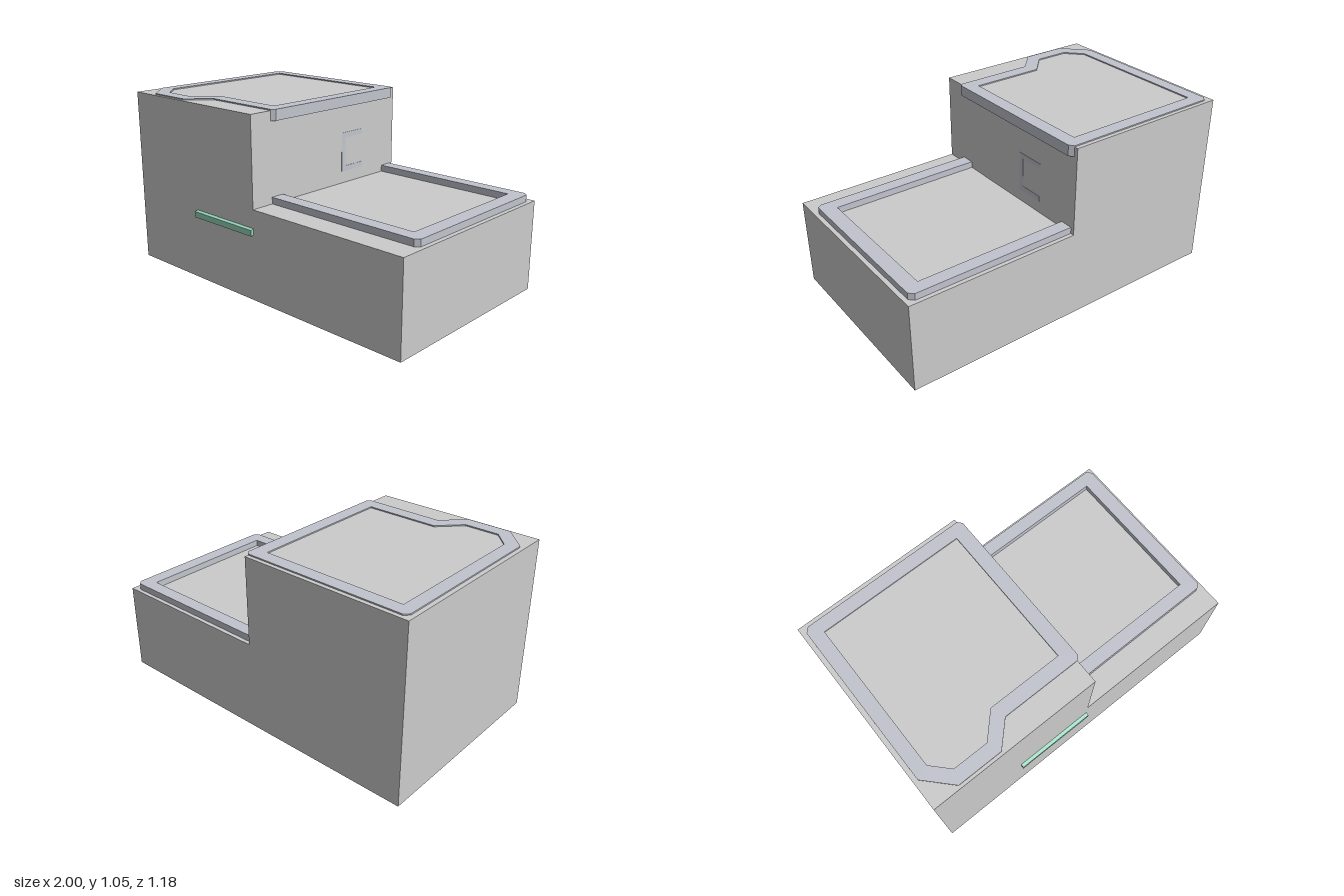
import * as THREE from 'three';

const grey = new THREE.MeshStandardMaterial({ color: 0xcccccc });
const rimGrey = new THREE.MeshStandardMaterial({ color: 0xc2c4ce });
const green = new THREE.MeshStandardMaterial({ color: 0x96d4bc });

const toShape = (points) => new THREE.Shape(points.map(([a, b]) => new THREE.Vector2(a, b)));

// Flat slab from a plan outline of [x, z] points, between two heights
function slab(outline, y0, y1, hole) {
  const flip = (points) => points.map(([x, z]) => [x, -z]);
  const shape = toShape(flip(outline));
  if (hole) shape.holes.push(toShape(flip(hole)));
  const geometry = new THREE.ExtrudeGeometry(shape, { depth: y1 - y0, bevelEnabled: false });
  return geometry.rotateX(-Math.PI / 2).translate(0, y0, 0);
}

function box(x0, x1, y0, y1, z0, z1) {
  return new THREE.BoxGeometry(x1 - x0, y1 - y0, z1 - z0)
    .translate((x0 + x1) / 2, (y0 + y1) / 2, (z0 + z1) / 2);
}

export function createModel() {
  const model = new THREE.Group();
  const add = (name, geometry, material = grey) => {
    const mesh = new THREE.Mesh(geometry, material);
    mesh.name = name;
    model.add(mesh);
  };

  // Stepped body: tall block on one side, low block on the other
  const profile = [[-1, 0.015], [1, 0.015], [1, 0.535], [0, 0.535], [0, 1.044], [-1, 1.044]];
  add('body', new THREE.ExtrudeGeometry(toShape(profile), { depth: 1.157, bevelEnabled: false })
    .translate(0, 0, -0.588));

  // Rim on the tall block, with a bulge at the front corner
  add('upperRim', slab(
    [[0.02, -0.54], [0, -0.565], [-0.95, -0.565], [-0.975, -0.54], [-0.975, 0.41], [-0.84, 0.552],
      [-0.58, 0.552], [-0.46, 0.43], [0, 0.43], [0.02, 0.41]],
    0.99, 1.051,
    [[-0.06, -0.49], [-0.9, -0.49], [-0.9, 0.38], [-0.81, 0.475], [-0.61, 0.475], [-0.49, 0.35], [-0.06, 0.35]],
  ), rimGrey);

  // Three-sided rim on the low block, running into the wall
  add('lowerRim', slab(
    [[-0.01, -0.565], [0.95, -0.565], [0.975, -0.54], [0.975, 0.41], [0.95, 0.43], [-0.01, 0.43],
      [-0.01, 0.35], [0.89, 0.35], [0.89, -0.49], [-0.01, -0.49]],
    0.52, 0.573,
  ), rimGrey);

  // Base plate with shallow notches, following the rim outline
  add('basePlate', slab(
    [[-0.95, -0.54], [-0.36, -0.54], [-0.36, -0.51], [-0.16, -0.51], [-0.16, -0.54], [0.95, -0.54],
      [0.95, 0.415], [-0.15, 0.415], [-0.15, 0.44], [-0.34, 0.44], [-0.34, 0.415], [-0.46, 0.415],
      [-0.59, 0.53], [-0.83, 0.53], [-0.95, 0.41]],
    0, 0.02,
  ));
  for (const x of [-0.455, -0.02]) add('baseTab', box(x - 0.018, x + 0.018, 0, 0.02, 0.5, 0.53));

  // Sloped coloured bar on the front face
  const barSection = [[-0.56, 0.397], [-0.588, 0.39], [-0.588, 0.424], [-0.56, 0.432]];
  add('frontBar', new THREE.ExtrudeGeometry(toShape(barSection), { depth: 0.475, bevelEnabled: false })
    .rotateY(Math.PI / 2).translate(-0.475, 0, 0), green);

  // Thin bracket on the step wall
  add('wallBracketPost', box(-0.01, 0.002, 0.605, 0.835, -0.155, -0.125), rimGrey);
  for (const y of [0.605, 0.805]) {
    add('wallBracketArm', box(-0.01, 0.002, y, y + 0.03, -0.3, -0.155), rimGrey);
  }

  return model;
}
